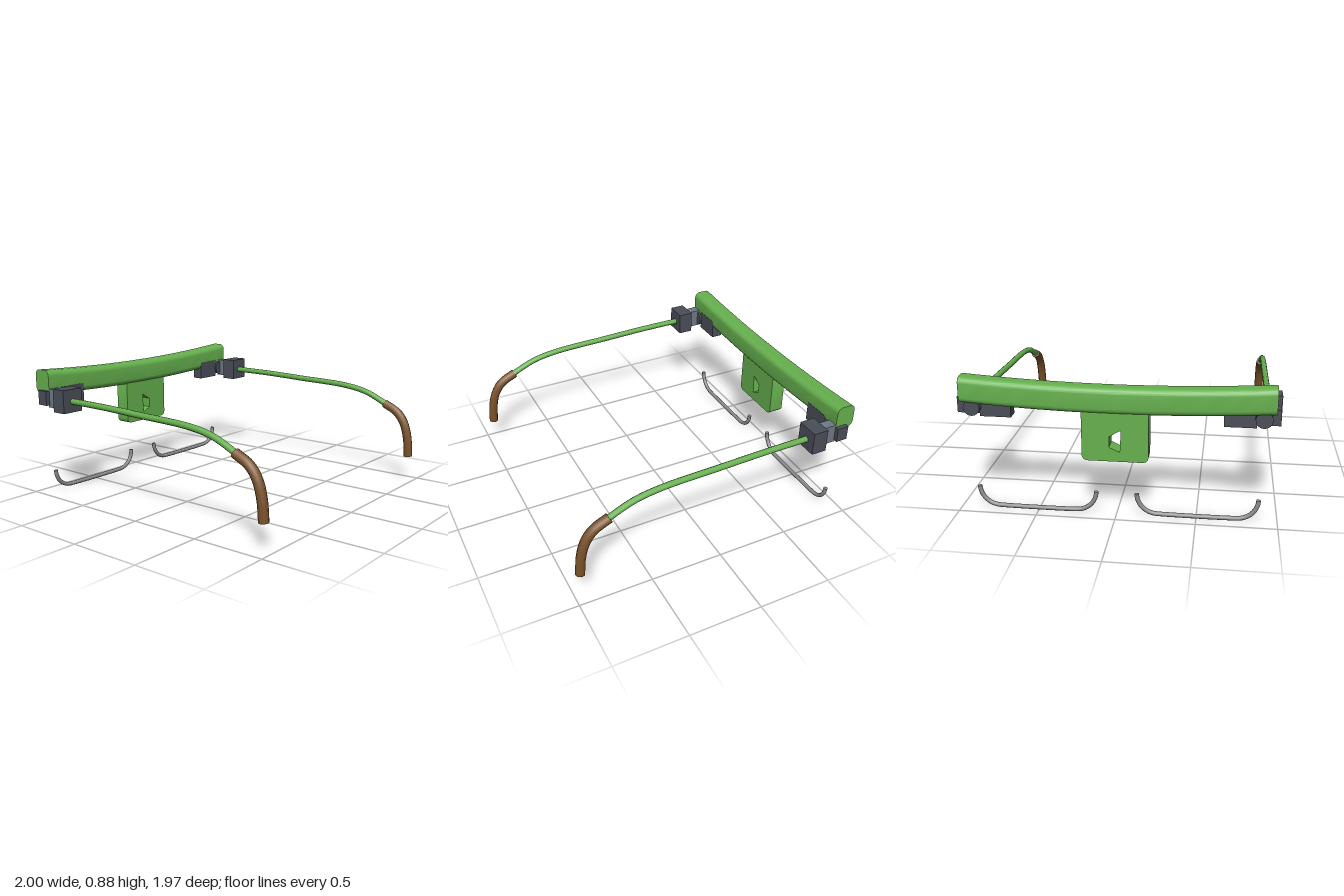
import * as THREE from 'three';
import { toCreasedNormals } from 'three/addons/utils/BufferGeometryUtils.js';

const material = (name, color) => {
  const m = new THREE.MeshStandardMaterial({ color });
  m.name = name;
  return m;
};

export function createModel() {
  const green = material('frame green', 0x66b04e);
  const dark = material('hinge dark grey', 0x4a4e57);
  const steel = material('hinge steel grey', 0x6f7a85);
  const brown = material('tip brown', 0x7a5229);
  const silver = material('wire grey', 0x8c8c8c);

  const model = new THREE.Group();
  model.name = 'glassesFrame';

  const add = (parent, name, geometry, mat, x = 0, y = 0, z = 0) => {
    const mesh = new THREE.Mesh(geometry, mat);
    mesh.name = name;
    mesh.position.set(x, y, z);
    parent.add(mesh);
    return mesh;
  };

  // Rectangle with rounded corners: top radius rt, bottom radius rb
  const roundedRect = (x0, y0, x1, y1, rt, rb) => {
    const s = new THREE.Shape();
    s.moveTo(x0 + rb, y0);
    s.lineTo(x1 - rb, y0);
    s.absarc(x1 - rb, y0 + rb, rb, -Math.PI / 2, 0);
    s.lineTo(x1, y1 - rt);
    s.absarc(x1 - rt, y1 - rt, rt, 0, Math.PI / 2);
    s.lineTo(x0 + rt, y1);
    s.absarc(x0 + rt, y1 - rt, rt, Math.PI / 2, Math.PI);
    s.lineTo(x0, y0 + rb);
    s.absarc(x0 + rb, y0 + rb, rb, Math.PI, Math.PI * 1.5);
    return s;
  };

  // Brow bar: rounded section swept along x, rising in a gentle curve to the ends
  const half = 0.957;
  const bar = new THREE.ExtrudeGeometry(
    roundedRect(-0.067, 0.685, 0.067, 0.85, 0.04, 0.04),
    { depth: half * 2, steps: 24, bevelEnabled: false, curveSegments: 6 });
  bar.translate(0, 0, -half);
  bar.rotateY(Math.PI / 2);
  const p = bar.attributes.position;
  for (let i = 0; i < p.count; i++) {
    p.setY(i, p.getY(i) + 0.036 * (p.getX(i) / half) ** 2);
  }
  add(model, 'browBar', toCreasedNormals(bar, 0.6), green, 0, 0, -0.917);

  // Bridge pad with its small cut-out
  const padShape = roundedRect(-0.205, 0.383, 0.205, 0.725, 0.01, 0.035);
  padShape.holes.push(new THREE.Path([
    new THREE.Vector2(-0.037, 0.588), new THREE.Vector2(-0.03, 0.445),
    new THREE.Vector2(0.036, 0.475), new THREE.Vector2(0.036, 0.543)]));
  const pad = new THREE.ExtrudeGeometry(padShape,
    { depth: 0.105, bevelEnabled: false, curveSegments: 6 });
  add(model, 'bridgePad', toCreasedNormals(pad, 0.6), green, 0, 0, -0.97);

  // Tube with closed ends along a curve
  const cappedTube = (parent, name, curve, segments, radius, sides, mat) => {
    add(parent, name, new THREE.TubeGeometry(curve, segments, radius, sides), mat);
    for (const t of [0, 1]) {
      const cap = add(parent, name + 'Cap', new THREE.CircleGeometry(radius, sides), mat);
      const dir = curve.getTangentAt(t).multiplyScalar(t ? 1 : -1);
      cap.position.copy(curve.getPointAt(t));
      cap.quaternion.setFromUnitVectors(new THREE.Vector3(0, 0, 1), dir);
    }
  };
  const V = (x, y, z) => new THREE.Vector3(x, y, z);

  for (const side of [1, -1]) {
    const label = side > 0 ? 'left' : 'right';
    const group = new THREE.Group();
    group.name = label + 'Side';
    model.add(group);
    const X = 0.92 * side;

    // Hinge: plate, end block, pivot pin, knuckle and temple block
    add(group, label + 'HingePlate', new THREE.BoxGeometry(0.195, 0.135, 0.08),
      dark, 0.7475 * side, 0.692, -0.888);
    add(group, label + 'HingeEnd', new THREE.BoxGeometry(0.145, 0.1, 0.08),
      dark, 0.9125 * side, 0.695, -0.89);
    const pin = new THREE.CylinderGeometry(0.052, 0.052, 0.135, 16);
    pin.rotateX(Math.PI / 2);
    add(group, label + 'HingePin', pin, dark, 0.885 * side, 0.691, -0.902);
    add(group, label + 'HingeKnuckle', new THREE.BoxGeometry(0.07, 0.13, 0.11),
      steel, X, 0.694, -0.805);
    add(group, label + 'TempleBlock', new THREE.BoxGeometry(0.158, 0.16, 0.106),
      dark, X, 0.695, -0.703);

    // Temple arm and its curved ear tip
    const arm = new THREE.CatmullRomCurve3([
      V(X, 0.69, -0.68), V(X, 0.688, -0.35), V(X, 0.678, 0), V(X, 0.664, 0.4),
      V(X, 0.633, 0.58), V(X, 0.565, 0.74), V(X, 0.545, 0.78)]);
    cappedTube(group, label + 'TempleArm', arm, 32, 0.021, 10, green);
    const tip = new THREE.CatmullRomCurve3([
      V(X, 0.56, 0.745), V(X, 0.505, 0.85), V(X, 0.43, 0.907),
      V(X, 0.32, 0.94), V(X, 0.185, 0.953)]);
    cappedTube(group, label + 'EarTip', tip, 14, 0.033, 8, brown);

    // Lower lens wire: straight run with a quarter bend at each end
    const r = 0.13, inner = 0.128, outer = 0.88, y = 0.149, pts = [];
    for (let i = 0; i <= 8; i++) {
      const a = Math.PI + (i / 8) * Math.PI / 2;
      pts.push(V((inner + r + r * Math.cos(a)) * side, y + r * Math.sin(a), -0.918));
    }
    for (let i = 0; i <= 8; i++) {
      const a = Math.PI * 1.5 + (i / 8) * Math.PI / 2;
      pts.push(V((outer - r + r * Math.cos(a)) * side, y + r * Math.sin(a), -0.918));
    }
    const wire = new THREE.CatmullRomCurve3(pts);
    cappedTube(group, label + 'LensWire', wire, 48, 0.0145, 10, silver);
  }
  return model;
}
